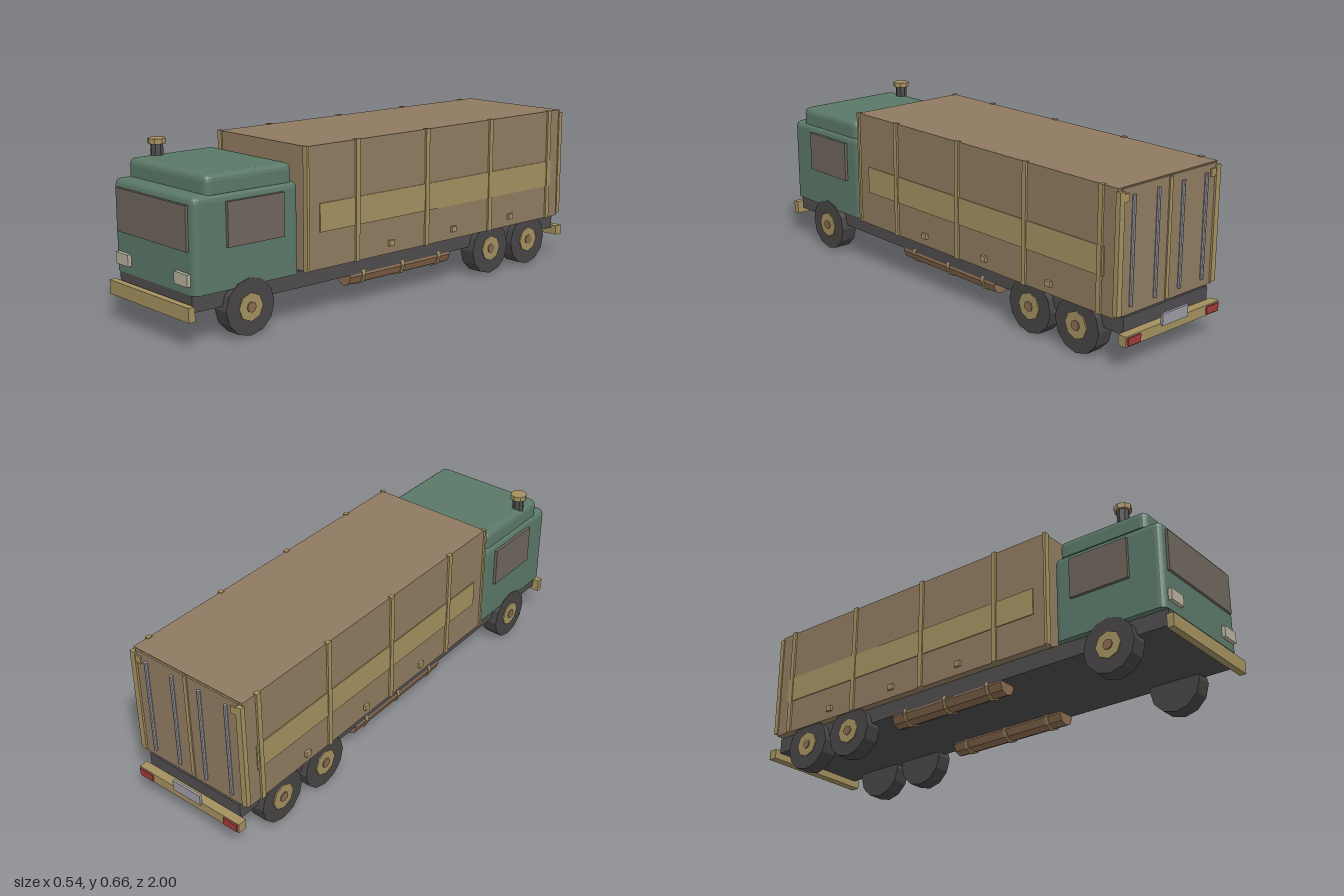
import * as THREE from 'three';
import { RoundedBoxGeometry } from 'three/addons/geometries/RoundedBoxGeometry.js';

const mat = (color) => new THREE.MeshStandardMaterial({ color, flatShading: true });

export function createModel() {
  const truck = new THREE.Group();
  truck.name = 'boxTruck';
  const M = {
    cab: mat(0x5a7868), cargo: mat(0x8f7a60), trim: mat(0xa39060), dark: mat(0x4e4c4c),
    tyre: mat(0x474444), glass: mat(0x6e655c), lamp: mat(0xb5b09c), red: mat(0xa03a38),
    steel: mat(0x9a9aa2), tank: mat(0x8a6a50),
  };

  const add = (name, geometry, material) => {
    const mesh = new THREE.Mesh(geometry, material);
    mesh.name = name;
    truck.add(mesh);
    return mesh;
  };
  // Box given by its limits on each axis
  const box = (name, material, x0, x1, y0, y1, z0, z1) => {
    const mesh = add(name, new THREE.BoxGeometry(x1 - x0, y1 - y0, z1 - z0), material);
    mesh.position.set((x0 + x1) / 2, (y0 + y1) / 2, (z0 + z1) / 2);
    return mesh;
  };
  // The same box on both sides of the truck
  const pair = (name, material, x0, x1, ...rest) => {
    box(name + 'Left', material, x0, x1, ...rest);
    box(name + 'Right', material, -x1, -x0, ...rest);
  };
  // Rounded on top and at the corners, cut flat at the bottom
  const shell = (name, halfWidth, y0, y1, z0, z1, r) => {
    const g = new RoundedBoxGeometry(halfWidth * 2, y1 - y0 + r, z1 - z0, 2, r);
    g.translate(0, (y0 + y1 - r) / 2, (z0 + z1) / 2);
    const p = g.attributes.position;
    for (let i = 0; i < p.count; i++) p.setY(i, Math.max(p.getY(i), y0));
    return add(name, g, M.cab);
  };
  const rod = (name, material, r, length, sides, axis, x, y, z) => {
    const g = new THREE.CylinderGeometry(r, r, length, sides);
    if (axis === 'x') g.rotateZ(Math.PI / 2);
    if (axis === 'z') g.rotateX(Math.PI / 2);
    const mesh = add(name, g, material);
    mesh.position.set(x, y, z);
    return mesh;
  };

  // Chassis and front bumper
  box('chassis', M.dark, -0.225, 0.225, 0.123, 0.187, -0.957, 0.968);
  box('frontBumper', M.trim, -0.25, 0.25, 0.1, 0.153, 0.973, 1.0);

  // Cab with raised roof, glass and headlights
  shell('cab', 0.25, 0.186, 0.531, 0.509, 0.97, 0.025);
  shell('cabRoof', 0.242, 0.528, 0.599, 0.53, 0.91, 0.025);
  box('windscreen', M.glass, -0.217, 0.217, 0.339, 0.501, 0.96, 0.98);
  pair('sideWindow', M.glass, 0.24, 0.262, 0.339, 0.501, 0.585, 0.835);
  pair('headlight', M.lamp, 0.145, 0.224, 0.218, 0.262, 0.96, 0.985);

  // Exhaust stack on the roof
  rod('exhaustPipe', M.dark, 0.024, 0.12, 8, 'y', -0.214, 0.585, 0.8);
  rod('exhaustCap', M.trim, 0.034, 0.02, 8, 'y', -0.214, 0.652, 0.8);

  // Cargo box with front posts, ribs, side bands and marker lamps
  box('cargoBox', M.cargo, -0.259, 0.259, 0.187, 0.651, -0.945, 0.48);
  pair('frontPost', M.trim, 0.244, 0.267, 0.186, 0.653, 0.474, 0.485);
  pair('sideBand', M.trim, 0.25, 0.263, 0.327, 0.435, -0.892, 0.42);
  for (const z of [0.236, -0.134, -0.503, -0.873])
    pair('sideRib', M.trim, 0.25, 0.267, 0.187, 0.654, z - 0.01, z + 0.01);
  for (const z of [0.06, -0.287, -0.632])
    pair('markerLamp', M.trim, 0.25, 0.27, 0.218, 0.24, z - 0.013, z + 0.013);

  // Rear doors, posts and lock rods
  pair('rearDoor', M.cargo, 0.003, 0.245, 0.19, 0.648, -0.952, -0.94);
  pair('rearPost', M.trim, 0.24, 0.264, 0.198, 0.64, -0.96, -0.94);
  box('doorSeam', M.trim, -0.008, 0.008, 0.195, 0.645, -0.957, -0.94);
  pair('doorHinge', M.trim, 0.215, 0.245, 0.6, 0.63, -0.958, -0.94);
  for (const x of [-0.19, -0.065, 0.065, 0.19])
    rod('lockRod', M.steel, 0.007, 0.4, 8, 'y', x, 0.42, -0.957);

  // Rear bumper with lights and plate
  box('rearBumper', M.trim, -0.25, 0.25, 0.094, 0.134, -0.993, -0.957);
  pair('tailLight', M.red, 0.178, 0.243, 0.1, 0.129, -0.999, -0.985);
  box('rearPlate', M.steel, -0.068, 0.068, 0.125, 0.17, -1.0, -0.99);

  // Wheels, tanks and straps on both sides
  for (const s of [-1, 1]) {
    for (const z of [0.737, -0.525, -0.763]) {
      rod('tyre', M.tyre, 0.107, 0.068, 12, 'x', s * 0.218, 0.107, z);
      rod('hub', M.trim, 0.053, 0.02, 8, 'x', s * 0.247, 0.107, z);
      rod('hubCap', M.tank, 0.02, 0.02, 8, 'x', s * 0.251, 0.107, z);
    }
    rod('fuelTank', M.tank, 0.04, 0.545, 8, 'z', s * 0.188, 0.115, -0.033);
    for (const z of [0.172, -0.037, -0.24])
      rod('tankStrap', M.trim, 0.045, 0.014, 8, 'z', s * 0.188, 0.115, z);
  }
  return truck;
}
